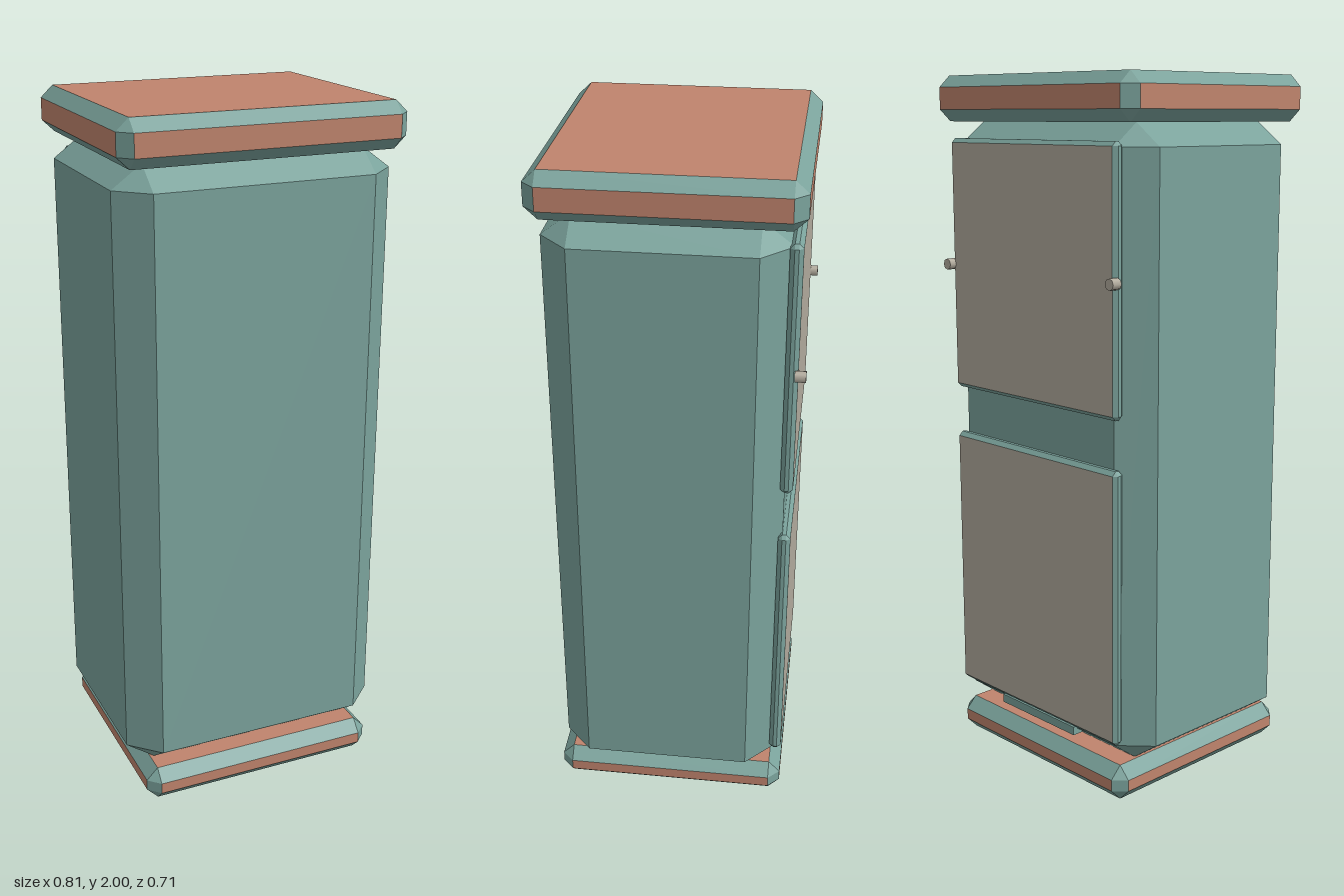
import * as THREE from 'three';

const teal = new THREE.MeshStandardMaterial({ name: 'teal', color: 0x7ba39c });
const copper = new THREE.MeshStandardMaterial({ name: 'copper', color: 0xc0846d });
const beige = new THREE.MeshStandardMaterial({ name: 'beige', color: 0xb3ac9e });

// Box between min and max with every edge cut off by the chamfer [x, y, z].
// Faces for which isAccent(axis, sign) holds use the accent material, the rest teal.
function chamferedBox(name, min, max, chamfer, accent, isAccent) {
  const centre = min.map((v, i) => (v + max[i]) / 2);
  const half = min.map((v, i) => (max[i] - v) / 2);
  // Corner point that lies on the face of the given axis
  const point = (axis, s) => new THREE.Vector3(
    ...s.map((sign, i) => centre[i] + sign * (half[i] - (i === axis ? 0 : chamfer[i]))));
  const lists = [[], []];
  const middle = new THREE.Vector3(...centre);
  const addTriangle = (list, a, b, c) => {
    const normal = b.clone().sub(a).cross(c.clone().sub(a));
    const outward = normal.dot(a.clone().sub(middle)) > 0;
    for (const p of outward ? [a, b, c] : [a, c, b]) list.push(p.x, p.y, p.z);
  };
  const addQuad = (list, a, b, c, d) => {
    addTriangle(list, a, b, c);
    addTriangle(list, a, c, d);
  };
  const signs = (a, sa, b, sb, c, sc) => {
    const s = [0, 0, 0];
    s[a] = sa; s[b] = sb; s[c] = sc;
    return s;
  };
  for (let a = 0; a < 3; a++) {
    const b = (a + 1) % 3, c = (a + 2) % 3;
    for (const sa of [-1, 1]) {
      // Flat face
      addQuad(lists[isAccent(a, sa) ? 1 : 0],
        ...[[-1, -1], [1, -1], [1, 1], [-1, 1]].map(([sb, sc]) => point(a, signs(a, sa, b, sb, c, sc))));
      // Edge bevels between axes a and b
      for (const sb of [-1, 1]) {
        const low = signs(a, sa, b, sb, c, -1), high = signs(a, sa, b, sb, c, 1);
        addQuad(lists[0], point(a, low), point(b, low), point(b, high), point(a, high));
      }
    }
  }
  // Corner triangles
  for (const x of [-1, 1]) for (const y of [-1, 1]) for (const z of [-1, 1]) {
    const s = [x, y, z];
    addTriangle(lists[0], point(0, s), point(1, s), point(2, s));
  }
  const geometry = new THREE.BufferGeometry();
  geometry.setAttribute('position', new THREE.Float32BufferAttribute([...lists[0], ...lists[1]], 3));
  geometry.addGroup(0, lists[0].length / 3, 0);
  geometry.addGroup(lists[0].length / 3, lists[1].length / 3, 1);
  geometry.computeVertexNormals();
  const mesh = new THREE.Mesh(geometry, [teal, accent]);
  mesh.name = name;
  return mesh;
}

export function createModel() {
  const model = new THREE.Group();
  model.name = 'cabinet';
  const all = () => true;
  const none = () => false;
  const backOnly = (axis, sign) => axis === 2 && sign < 0;

  // Plinth, body and lid
  model.add(
    chamferedBox('base', [-0.362, 0, -0.335], [0.362, 0.103, 0.347], [0.034, 0.035, 0.034], copper, all),
    chamferedBox('body', [-0.4, 0.1, -0.312], [0.4, 1.872, 0.33], [0.085, 0.062, 0.081], teal, none),
    chamferedBox('lid', [-0.407, 1.872, -0.345], [0.407, 2, 0.355], [0.035, 0.033, 0.036], copper, all));

  // Door panels on the back
  const doors = [['upperDoor', 1.1, 1.825], ['lowerDoor', 0.172, 0.962]];
  for (const [name, bottom, top] of doors) {
    model.add(chamferedBox(name, [-0.343, bottom, -0.335], [0.343, top, -0.3], [0.01, 0.012, 0.012], beige, backOnly));
  }

  // Knobs at both edges of the upper door
  for (const side of [-1, 1]) {
    const knob = new THREE.Mesh(new THREE.CylinderGeometry(0.016, 0.016, 0.03, 8).toNonIndexed(), beige);
    knob.geometry.rotateX(Math.PI / 2);
    knob.position.set(side * 0.343, 1.465, -0.341);
    knob.name = side > 0 ? 'leftKnob' : 'rightKnob';
    model.add(knob);
  }

  // Narrow lip under the lower door
  const lip = new THREE.Mesh(new THREE.BoxGeometry(0.32, 0.025, 0.05), teal);
  lip.position.set(0, 0.156, -0.3);
  lip.name = 'lowerLip';
  model.add(lip);

  return model;
}
